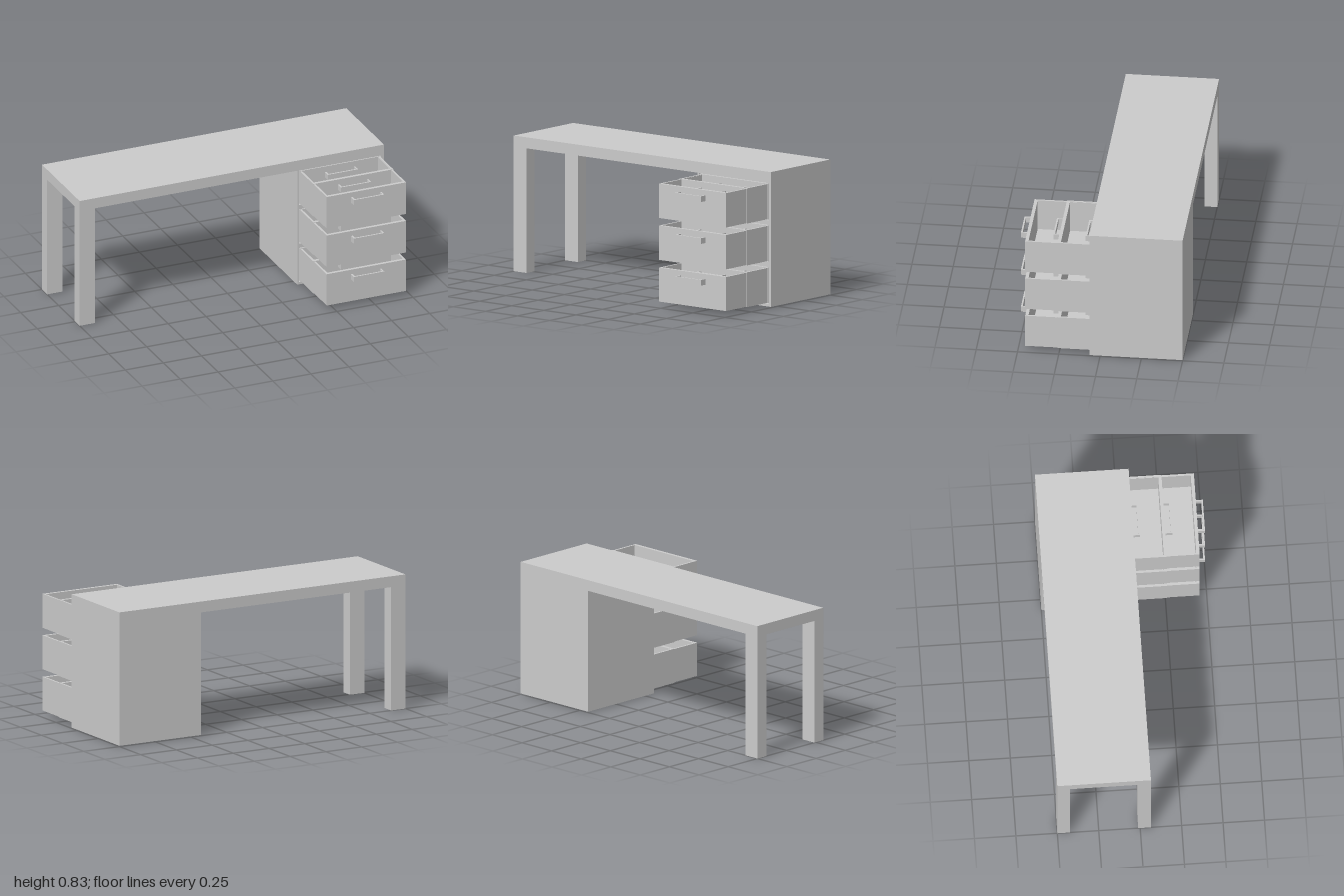
import * as THREE from 'three';

const material = new THREE.MeshStandardMaterial({ color: 0xcccccc, flatShading: true });

// Box given by its lower and upper limits on each axis
function box(name, [x0, x1], [y0, y1], [z0, z1]) {
  const mesh = new THREE.Mesh(new THREE.BoxGeometry(x1 - x0, y1 - y0, z1 - z0), material);
  mesh.position.set((x0 + x1) / 2, (y0 + y1) / 2, (z0 + z1) / 2);
  mesh.name = name;
  return mesh;
}

const BACK = -0.5, FRONT = 0.065;
const MID_X = 0.712;

// U-shaped pull, drawn in plan and extruded upwards
function handle(y, z) {
  const w = 0.1, d = 0.043, t = 0.01;
  const shape = new THREE.Shape([
    [-w, 0], [-w, -d], [w, -d], [w, 0], [w - t, 0], [w - t, -d + t], [-w + t, -d + t], [-w + t, 0],
  ].map(([x, v]) => new THREE.Vector2(x, v)));
  const geometry = new THREE.ExtrudeGeometry(shape, { depth: 0.035, bevelEnabled: false });
  geometry.rotateX(-Math.PI / 2);
  const mesh = new THREE.Mesh(geometry, material);
  mesh.position.set(MID_X, y, z);
  mesh.name = 'drawerHandle';
  return mesh;
}

// Open-topped drawer whose front face lies at z
function drawer(y0, y1, z, inset) {
  const g = new THREE.Group();
  g.name = 'drawer';
  const x0 = 0.447 + inset, x1 = 0.978 - inset;
  const lo = y0 + inset, hi = y1 - inset, back = z - 0.54, t = 0.012, f = 0.02;
  g.add(
    box('drawerFront', [x0, x1], [lo, hi], [z - f, z]),
    box('drawerBack', [x0, x1], [lo, hi], [back, back + t]),
    box('drawerSide', [x0, x0 + t], [lo, hi], [back + t, z - f]),
    box('drawerSide', [x1 - t, x1], [lo, hi], [back + t, z - f]),
    box('drawerFloor', [x0 + t, x1 - t], [lo, lo + t], [back + t, z - f]),
    handle(y0 + 0.148, z),
  );
  return g;
}

export function createModel() {
  const model = new THREE.Group();
  model.name = 'desk';

  // Top and the two legs
  model.add(box('deskTop', [-1, 1], [0.762, 0.829], [BACK, FRONT]));
  for (const [z0, z1] of [[FRONT - 0.077, FRONT], [BACK, BACK + 0.077]]) {
    model.add(box('leg', [-1, -0.9], [0, 0.762], [z0, z1]));
  }

  // Cabinet carcass with one opening per drawer
  const rows = [[0.025, 0.243], [0.28, 0.5], [0.536, 0.756]];
  const rect = (T, x0, x1, y0, y1) => new T([
    new THREE.Vector2(x0, y0), new THREE.Vector2(x1, y0),
    new THREE.Vector2(x1, y1), new THREE.Vector2(x0, y1),
  ]);
  const face = rect(THREE.Shape, 0.43, 1, 0.005, 0.762);
  for (const [y0, y1] of rows) {
    face.holes.push(rect(THREE.Path, 0.443, 0.982, y0 - 0.004, y1 + 0.004));
  }
  const shell = new THREE.Mesh(
    new THREE.ExtrudeGeometry(face, { depth: FRONT - BACK - 0.015, bevelEnabled: false }), material);
  shell.position.z = BACK + 0.015;
  shell.name = 'cabinet';
  model.add(shell, box('cabinetBack', [0.43, 1], [0.005, 0.762], [BACK, BACK + 0.015]));

  // Each row holds a closed, a half-open and an open drawer, nested in one another
  for (const [y0, y1] of rows) {
    [0, 1, 2].forEach((i) => model.add(drawer(y0, y1, FRONT + i * 0.196, i * 0.0025)));
  }
  return model;
}
